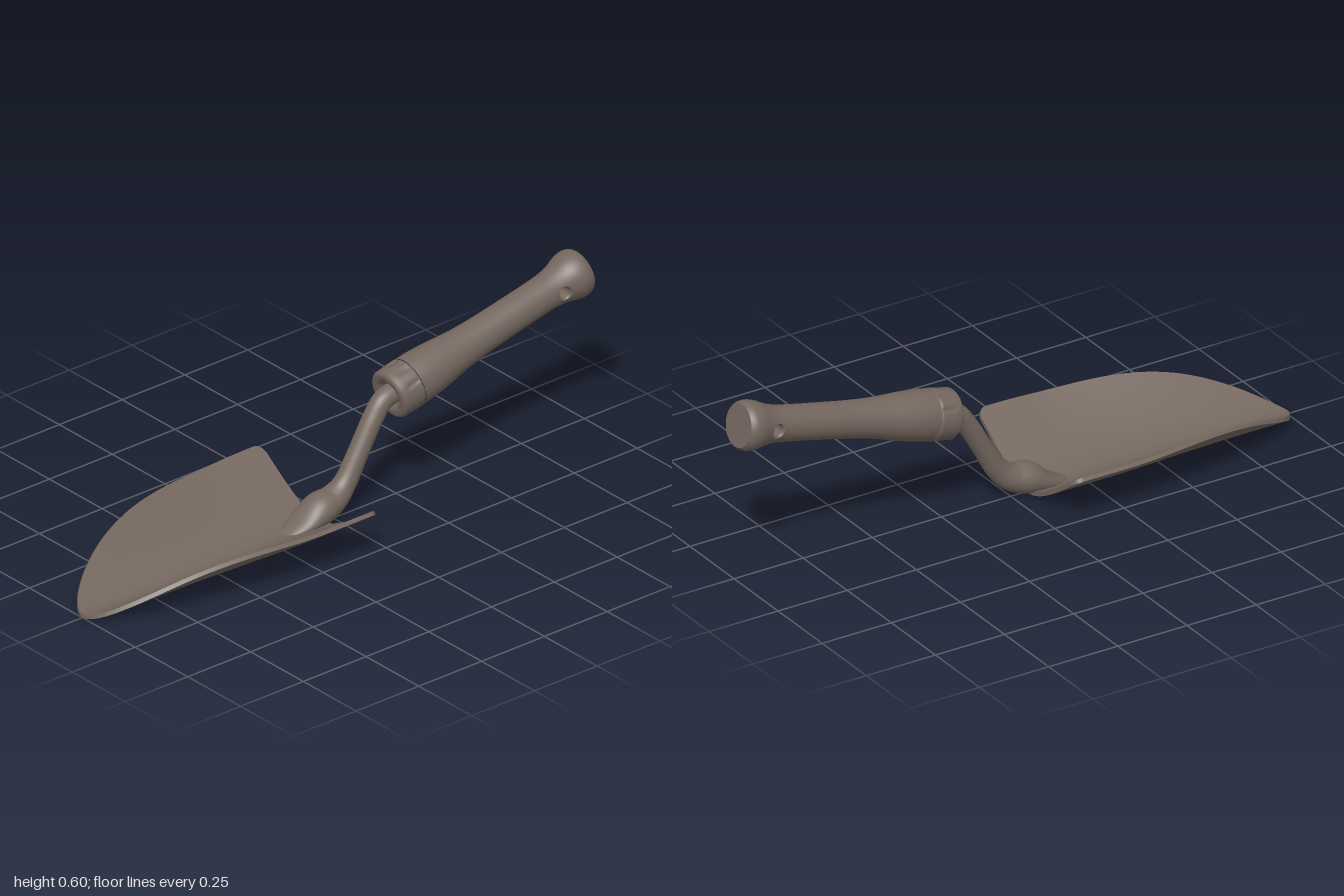
import * as THREE from 'three';
import { mergeVertices } from 'three/addons/utils/BufferGeometryUtils.js';

const paint = new THREE.MeshStandardMaterial({ color: 0x74675f });
paint.name = 'warm grey';

// Grid surface; it faces u x v. Cells for which skip() is true are left out.
function surface(nu, nv, point, skip = () => false) {
  const pos = [], index = [];
  for (let j = 0; j <= nv; j++) for (let i = 0; i <= nu; i++) pos.push(...point(i, j));
  for (let j = 0; j < nv; j++) for (let i = 0; i < nu; i++) {
    if (skip(i, j)) continue;
    const a = j * (nu + 1) + i, b = a + 1, c = b + nu + 1, d = c - 1;
    index.push(a, b, c, a, c, d);
  }
  let g = new THREE.BufferGeometry();
  g.setAttribute('position', new THREE.Float32BufferAttribute(pos, 3));
  g.setIndex(index);
  g = mergeVertices(g, 1e-5);
  g.computeVertexNormals();
  return g;
}

function add(parent, name, geometry) {
  const m = new THREE.Mesh(geometry, paint);
  m.name = name;
  parent.add(m);
  return m;
}

function interpolator(xs, ys) {
  const it = new THREE.CubicInterpolant(xs, ys, 1);
  return x => it.evaluate(x)[0];
}

// Height of the blade's underside across its width
const dish = x => 0.81 * (Math.sqrt(x * x + 0.0144) - 0.12);

function makeBlade() {
  const blade = new THREE.Group();
  blade.name = 'blade';
  const N = 64, M = 40, thick = 0.013, corner = 0.03;
  // u is -1..1 across, j = 0 at the tip and N at the back edge
  const at = (u, j, top) => {
    const t = (1 + Math.cos(Math.PI * j / N)) / 2, d = 0.945 * t;
    let w = 0.285 * Math.pow(Math.max(0, 1 - Math.pow(t, 2.5)), 0.6);
    if (d < corner) w -= corner - Math.sqrt(corner ** 2 - (corner - d) ** 2);
    const k = 1 + 0.3 * THREE.MathUtils.smoothstep(t, 0.2, 0.8);
    const x = u * w, y = k * dish(x);
    const slope = k * 0.81 * x / Math.sqrt(x * x + 0.0144);
    const h = top ? thick / Math.hypot(1, slope) : 0;
    return [x - slope * h, y + h, 0.055 + d];
  };
  const across = i => 2 * i / M - 1;
  add(blade, 'bladeTop', surface(M, N, (i, j) => at(across(i), j, true)));
  add(blade, 'bladeUnderside', surface(M, N, (i, j) => at(across(i), N - j, false)));
  // Rim: right edge, back edge, left edge
  const rim = [];
  for (let j = 0; j <= N; j++) rim.push([1, j]);
  for (let i = M - 1; i > 0; i--) rim.push([across(i), N]);
  for (let j = N; j >= 0; j--) rim.push([-1, j]);
  add(blade, 'bladeRim', surface(rim.length - 1, 1, (i, j) => at(...rim[i], j === 1)));
  return blade;
}

function makeStem() {
  // z, y, half width, half height
  const st = [
    [0.2, 0.008, 0.025, 0.004], [0.13, 0.025, 0.052, 0.025], [0.06, 0.05, 0.058, 0.05],
    [0, 0.068, 0.048, 0.044], [-0.045, 0.105, 0.036, 0.037], [-0.1, 0.195, 0.033, 0.033],
    [-0.16, 0.295, 0.033, 0.033], [-0.197, 0.34, 0.033, 0.033], [-0.26, 0.358, 0.033, 0.033],
  ];
  const last = st.length - 1, keys = st.map((s, i) => i);
  const path = new THREE.CatmullRomCurve3(st.map(s => new THREE.Vector3(0, s[1], s[0])));
  const rx = interpolator(keys, st.map(s => s[2])), ry = interpolator(keys, st.map(s => s[3]));
  const nv = 64;
  return surface(32, nv, (i, j) => {
    const t = j / nv, c = path.getPoint(t), T = path.getTangent(t), a = (i % 32) / 32 * Math.PI * 2;
    const x = rx(t * last) * Math.sin(a), h = ry(t * last) * Math.cos(a);
    return [x, Math.max(c.y - T.z * h, dish(x) + 0.003), c.z + T.y * h];
  });
}

// Handle: its axis runs along local +y, local +z is its upper side
function makeHandle() {
  const handle = new THREE.Group();
  handle.name = 'handle';

  // Collar with shallow notches along the upper side
  const ring = [[0.03, 0.025], [0.038, 0.018], [0.046, 0.006], [0.055, 0.001], [0.068, 0], [0.076, 0.003],
    [0.0805, 0.01], [0.081, 0.03], [0.0815, 0.038], [0.082, 0.06], [0.082, 0.076], [0.082, 0.081], [0.078, 0.085]];
  const collar = new THREE.LatheGeometry(ring.map(p => new THREE.Vector2(...p)), 96, Math.PI);
  const p = collar.attributes.position;
  for (let i = 0; i < p.count; i++) {
    const x = p.getX(i), y = p.getY(i), z = p.getZ(i), phi = Math.atan2(x, z);
    if (y < 0.035 || y > 0.079 || Math.abs(phi) > 1.1) continue;
    const k = 1 - 0.06 * Math.max(0, -Math.cos(phi * 9));
    p.setXYZ(i, x * k, y, z * k);
  }
  collar.computeVertexNormals();
  add(handle, 'collar', collar);

  // Grip with a hanging hole through both sides
  const radius = interpolator(
    [0.085, 0.12, 0.187, 0.29, 0.39, 0.5, 0.6, 0.66, 0.7, 0.735, 0.76, 0.775, 0.785],
    [0.081, 0.081, 0.076, 0.064, 0.059, 0.0575, 0.057, 0.059, 0.066, 0.077, 0.079, 0.076, 0.069]);
  const on = (phi, s) => [radius(s) * Math.sin(phi), s, radius(s) * Math.cos(phi)];
  const nPhi = 48, step = Math.PI * 2 / nPhi, row = j => 0.085 + j * 0.01;
  const inHole = (i, j) => j >= 55 && j < 63 && ((i >= 8 && i < 16) || (i >= 32 && i < 40));
  add(handle, 'grip', surface(nPhi, 70, (i, j) => on((i % nPhi) * step, row(j)), inHole));

  // Patch from the square opening to the round hole, then half of the bore
  const holeS = row(59), R = 0.024, bore = 0.019;
  const square = [];
  for (let k = 0; k < 8; k++) square.push([-4 + k, -4]);
  for (let k = 0; k < 8; k++) square.push([4, -4 + k]);
  for (let k = 0; k < 8; k++) square.push([4 - k, 4]);
  for (let k = 0; k < 8; k++) square.push([-4, 4 - k]);
  for (const side of [1, -1]) {
    const mid = side * Math.PI / 2;
    const circle = (i, r) => {
      const a = Math.atan2(square[i % 32][1], square[i % 32][0]);
      return [r * Math.cos(a), r * Math.sin(a)];
    };
    add(handle, 'holeSurround', surface(32, 4, (i, j) => {
      const [c, d] = square[i % 32], [tc, sc] = circle(i, R), f = j / 4;
      const inner = Math.asin(tc / radius(holeS + sc));
      return on(mid + THREE.MathUtils.lerp(c * step, inner, f),
        THREE.MathUtils.lerp(holeS + d * 0.01, holeS + sc, f));
    }));
    add(handle, 'hangingHole', surface(32, 3, (i, j) => {
      const [tc, sc] = circle(i, R), r = radius(holeS + sc);
      const x = Math.sqrt(r * r - tc * tc);
      const [t, s] = circle(i, [R, 0.0205, bore, bore][j]);
      return [side * [x, x - 0.003, x - 0.009, 0][j], holeS + s, -side * t];
    }));
  }

  const cap = add(handle, 'endCap', new THREE.CircleGeometry(0.069, 48));
  cap.rotation.x = -Math.PI / 2;
  cap.position.y = 0.785;

  handle.position.set(0, 0.348, -0.218);
  handle.rotation.x = -1.346;
  return handle;
}

export function createModel() {
  const trowel = new THREE.Group();
  trowel.name = 'gardenTrowel';
  trowel.add(makeBlade());
  add(trowel, 'stem', makeStem());
  trowel.add(makeHandle());
  return trowel;
}
